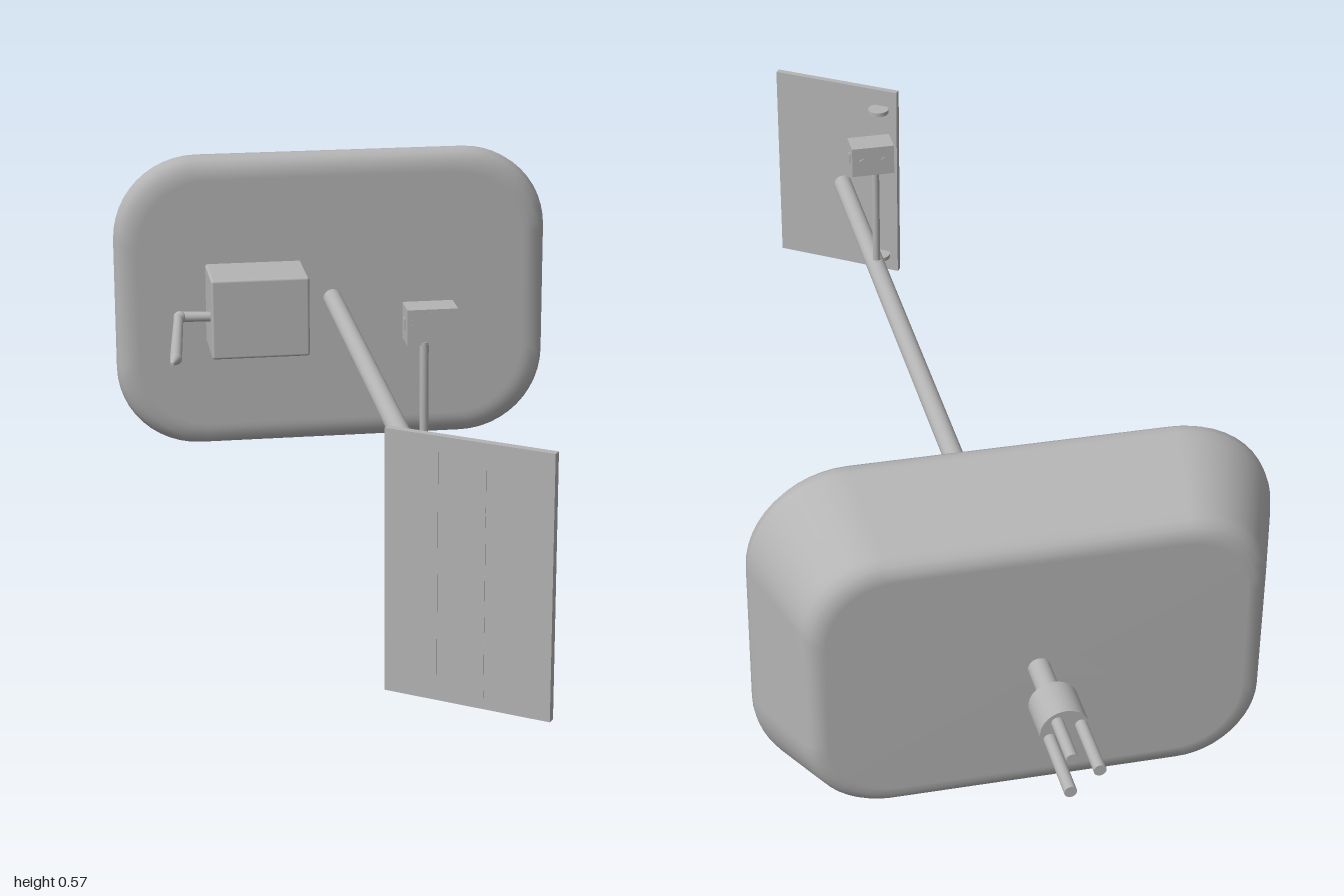
import * as THREE from 'three';
import { RoundedBoxGeometry } from 'three/addons/geometries/RoundedBoxGeometry.js';

const grey = new THREE.MeshStandardMaterial({ color: 0xb4b4b4 });
grey.name = 'plain grey';
const AXIS_Y = 0.287;

function add(parent, name, geometry, x = 0, y = 0, z = 0) {
  const mesh = new THREE.Mesh(geometry, grey);
  mesh.name = name;
  mesh.position.set(x, y, z);
  parent.add(mesh);
  return mesh;
}

// Tapered cylinder between two points
function rod(parent, name, a, b, r0, r1 = r0, sides = 24) {
  const from = new THREE.Vector3(...a), to = new THREE.Vector3(...b);
  const dir = to.clone().sub(from);
  const mesh = add(parent, name, new THREE.CylinderGeometry(r1, r0, dir.length(), sides));
  mesh.position.copy(from).add(to).multiplyScalar(0.5);
  mesh.quaternion.setFromUnitVectors(new THREE.Vector3(0, 1, 0), dir.normalize());
  return mesh;
}

// Rounded-rectangle rings [inset, z], listed front to back and capped at both ends
function taperedBody(halfW, halfH, radius, rings) {
  const seg = 12, n = 4 * (seg + 1), pos = [], idx = [];
  for (const [inset, z] of rings) {
    const r = radius - inset * 0.6;
    for (let q = 0; q < 4; q++) {
      const sx = q === 0 || q === 3 ? 1 : -1, sy = q < 2 ? 1 : -1;
      for (let s = 0; s <= seg; s++) {
        const t = (q + s / seg) * Math.PI / 2;
        pos.push(sx * (halfW - inset - r) + r * Math.cos(t), sy * (halfH - inset - r) + r * Math.sin(t), z);
      }
    }
  }
  for (let i = 0; i < rings.length - 1; i++) {
    for (let j = 0; j < n; j++) {
      const a = i * n + j, b = i * n + (j + 1) % n;
      idx.push(a, a + n, b, b, a + n, b + n);
    }
  }
  const last = rings.length - 1, c = rings.length * n;
  pos.push(0, 0, rings[0][1], 0, 0, rings[last][1]);
  for (let j = 0; j < n; j++) {
    const k = (j + 1) % n;
    idx.push(c, j, k, c + 1, last * n + k, last * n + j);
  }
  const g = new THREE.BufferGeometry();
  g.setAttribute('position', new THREE.Float32BufferAttribute(pos, 3));
  g.setIndex(idx);
  g.computeVertexNormals();
  return g;
}

export function createModel() {
  const model = new THREE.Group();
  model.name = 'model';

  // Large body, narrowing to the back
  add(model, 'body', taperedBody(0.415, 0.285, 0.16, [
    [0.045, -0.52], [0.035, -0.52], [0.02, -0.523], [0.008, -0.531], [0.001, -0.544], [0.002, -0.557],
    [0.008, -0.575], [0.053, -0.695], [0.058, -0.708], [0.066, -0.719], [0.078, -0.725], [0.09, -0.726],
  ]), 0, 0.285, 0);

  // Long boom through the body, with the rear plug
  rod(model, 'boom', [0, AXIS_Y, 0.865], [0, AXIS_Y, -0.82], 0.0175);
  rod(model, 'plug', [0, AXIS_Y, -0.81], [0, AXIS_Y, -0.88], 0.038, 0.038, 32);
  for (const [x, y, end] of [[-0.024, 0.296, -0.985], [0.023, 0.277, -1], [0.012, 0.306, -0.965]]) {
    rod(model, 'prong', [x, y, -0.87], [x, y, end], 0.0095, 0.0095, 16);
  }

  // Equipment box on the front of the body
  add(model, 'equipmentBox', new RoundedBoxGeometry(0.184, 0.153, 0.14, 2, 0.005), -0.151, AXIS_Y, -0.468);

  // Side arm: short shaft, knuckle and tapering blade
  const arm = new THREE.Group();
  arm.name = 'sideArm';
  model.add(arm);
  rod(arm, 'shaft', [-0.24, AXIS_Y, -0.428], [-0.295, AXIS_Y, -0.434], 0.009, 0.01, 16);
  add(arm, 'knuckle', new THREE.SphereGeometry(0.012, 16, 12), -0.3, AXIS_Y, -0.43);
  rod(arm, 'blade', [-0.302, AXIS_Y, -0.43], [-0.328, AXIS_Y, -0.17], 0.009, 0.011, 16);
  rod(arm, 'bladeTip', [-0.328, AXIS_Y, -0.17], [-0.337, AXIS_Y, -0.138], 0.011, 0.003, 16);

  // Small sensor on a post
  const sensor = new THREE.Group();
  sensor.name = 'sensor';
  model.add(sensor);
  rod(sensor, 'post', [0, AXIS_Y, 0.521], [0, 0.51, 0.521], 0.007, 0.007, 16);
  add(sensor, 'sensorBox', new THREE.BoxGeometry(0.078, 0.056, 0.048), 0.012, 0.534, 0.502);
  for (const [x, y, len] of [[-0.008, 0.536, 0.035], [-0.005, 0.528, 0.035], [0.024, 0.546, 0.04], [0.029, 0.54, 0.04]]) {
    add(sensor, 'glassStripe', new THREE.BoxGeometry(len, 0.002, 0.002), x, y, 0.526).rotation.z = -0.6;
  }
  for (const side of [-1, 1]) {
    add(sensor, 'sideButton', new THREE.BoxGeometry(0.003, 0.018, 0.012), 0.012 + side * 0.039, 0.534, 0.502);
    rod(sensor, 'rearLens', [0.012 + side * 0.02, 0.534, 0.48], [0.012 + side * 0.02, 0.534, 0.476], 0.006);
  }

  // Slanted end panel with fine seams, and its two rear hinge discs
  const panel = new THREE.Group();
  panel.name = 'endPanel';
  panel.position.set(-0.002, AXIS_Y, 0.917);
  panel.rotation.y = -0.598;
  model.add(panel);
  add(panel, 'plate', new THREE.BoxGeometry(0.258, 0.4, 0.012));
  for (const y of [-0.14, -0.04, 0.05, 0.14]) {
    add(panel, 'seam', new THREE.BoxGeometry(0.002, 0.075, 0.002), -0.047, y, 0.006);
    add(panel, 'seam', new THREE.BoxGeometry(0.002, 0.085, 0.002), 0.026, y, 0.006);
  }
  for (const y of [0.125, 0.45]) {
    add(model, 'hingeDisc', new THREE.CylinderGeometry(0.02, 0.02, 0.008, 24), -0.07, y, 0.845);
  }
  return model;
}
